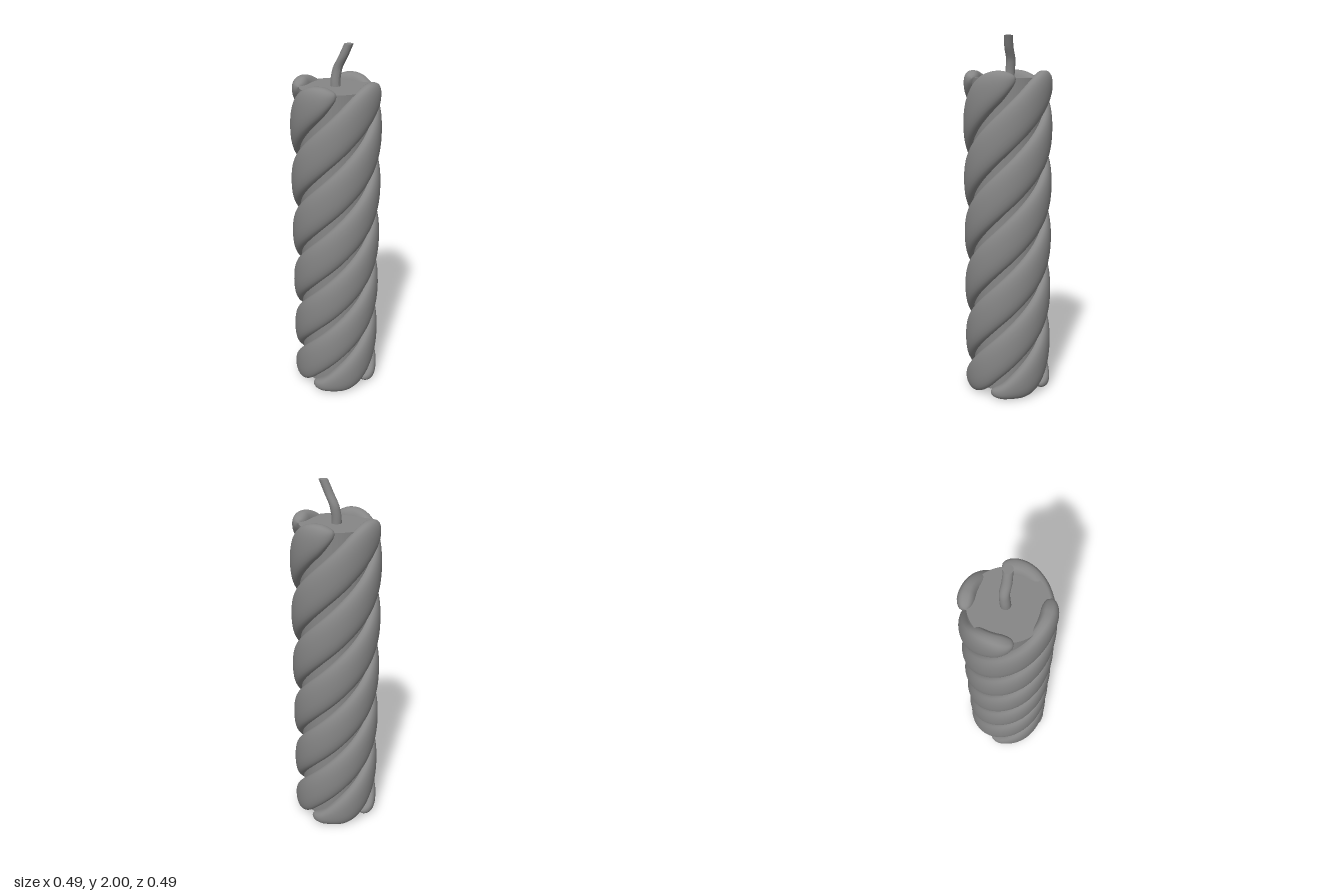
import * as THREE from 'three';

const material = new THREE.MeshStandardMaterial({ color: 0x868686 });
const RAD = Math.PI / 180;
const STRANDS = 4, PITCH = 1.22;
const BOTTOM = 0.005, TOP = 1.818;      // strands are trimmed level at these heights
const START = -74, END = 507;           // strand sweep in degrees
const RADIUS = 0.196, THICK = 0.047, HALF = 0.13;

// smooth minimum and maximum, so the trimmed ends stay rounded
const softMin = (a, b, k = 0.08) => {
  const h = Math.max(k - Math.abs(a - b), 0) / k;
  return Math.min(a, b) - h * h * k / 4;
};
const softMax = (a, b, k) => -softMin(-a, -b, k);
const signedPow = (v, p) => Math.sign(v) * Math.abs(v) ** p;

// helical strand built from upright oval sections that taper to rounded tips
function strandGeometry() {
  const steps = 200, sides = 28, pos = [], index = [];
  for (let i = 0; i <= steps; i++) {
    // steps are packed more closely towards both tips
    const u = i / steps, t = u - 0.046 * Math.sin(2 * Math.PI * u);
    const deg = START + (END - START) * t;
    const line = 0.145 + PITCH * deg / 360;
    const high = softMax(softMin(line + HALF, TOP), 0.075, 0.04);
    const low = softMax(line - HALF, BOTTOM);
    const mid = (high + low) / 2, half = (high - low) / 2;
    const d = Math.min(1, Math.min(deg - START, END - deg) / 24);
    const taper = Math.sqrt(Math.max(0, 1 - (1 - d) ** 2));
    for (let j = 0; j < sides; j++) {
      const phi = j / sides * 2 * Math.PI;
      const r = RADIUS + THICK * taper * signedPow(Math.cos(phi), 0.75);
      const y = mid + half * taper * signedPow(Math.sin(phi), 0.9);
      pos.push(r * Math.sin(deg * RAD), y, r * Math.cos(deg * RAD));
      if (i < steps) {
        const k = (j + 1) % sides;
        const a = i * sides + j, b = a + sides, c = i * sides + k, e = c + sides;
        index.push(a, b, c, b, e, c);
      }
    }
  }
  const geo = new THREE.BufferGeometry();
  geo.setAttribute('position', new THREE.Float32BufferAttribute(pos, 3));
  geo.setIndex(index);
  geo.computeVertexNormals();
  return geo;
}

// upright cylinder whose level sections slide along a curve
function wickGeometry() {
  const y0 = 1.74, y1 = 2;
  const curve = new THREE.CatmullRomCurve3([
    new THREE.Vector3(0.003, 0, -0.008), new THREE.Vector3(0.004, 0, -0.012),
    new THREE.Vector3(0.014, 0, -0.008), new THREE.Vector3(0.03, 0, 0.022),
    new THREE.Vector3(0.048, 0, 0.045),
  ]);
  const geo = new THREE.CylinderGeometry(0.024, 0.027, y1 - y0, 20, 20);
  geo.translate(0, (y0 + y1) / 2, 0);
  const p = geo.attributes.position;
  for (let i = 0; i < p.count; i++) {
    const c = curve.getPoint(THREE.MathUtils.clamp((p.getY(i) - y0) / (y1 - y0), 0, 1));
    p.setX(i, p.getX(i) + c.x);
    p.setZ(i, p.getZ(i) + c.z);
  }
  geo.computeVertexNormals();
  return geo;
}

export function createModel() {
  const model = new THREE.Group();
  model.name = 'twistedCandle';
  const add = (name, geometry) => {
    const mesh = new THREE.Mesh(geometry, material);
    mesh.name = name;
    model.add(mesh);
    return mesh;
  };

  // wax core with flat top and bottom
  add('core', new THREE.CylinderGeometry(0.194, 0.194, 1.73, 64)).position.y = 0.915;

  // four strands wound around the core
  const strand = strandGeometry();
  for (let i = 0; i < STRANDS; i++) {
    add('strand' + (i + 1), strand).rotation.y = i * 2 * Math.PI / STRANDS;
  }

  // bent wick
  add('wick', wickGeometry());
  return model;
}
